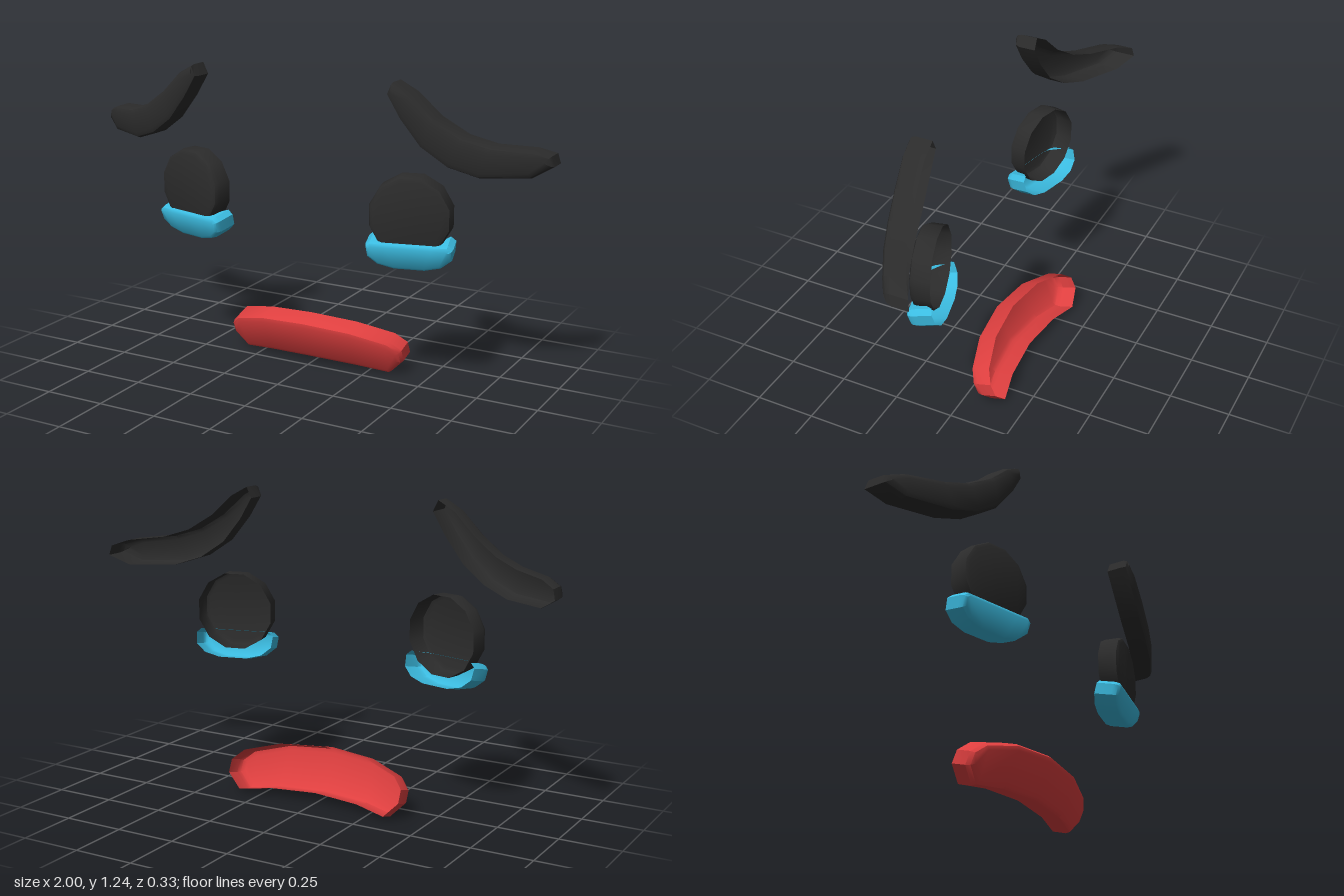
import * as THREE from 'three';
import { toCreasedNormals } from 'three/addons/utils/BufferGeometryUtils.js';

const mat = (name, color) =>
  new THREE.MeshStandardMaterial({ name, color, side: THREE.DoubleSide });

// Move each point of a counter-clockwise outline inward by the given distance.
function inset(ring, dist) {
  const n = ring.length;
  return ring.map((p, i) => {
    const a = ring[(i + n - 1) % n], b = ring[(i + 1) % n];
    const dx = b[0] - a[0], dy = b[1] - a[1], l = Math.hypot(dx, dy) || 1;
    return [p[0] - (dy / l) * dist, p[1] + (dx / l) * dist];
  });
}

// Hollow, open-backed shell with a rounded front edge.
// top and bottom are paired points from low x to high x;
// place(x, y, d) puts a point in space, with d from 0 (back) to 1 (front).
function shell(name, material, top, bottom, bevel, place) {
  const outline = [...bottom, ...[...top].reverse()];
  const n = outline.length, half = top.length;
  const steps = [[0, 0], [0, 0.72], [0.3, 0.92], [1, 1]];
  const pos = [], idx = [];
  for (const [k, d] of steps) {
    for (const [x, y] of inset(outline, bevel * k)) pos.push(...place(x, y, d));
  }
  for (let r = 0; r < steps.length - 1; r++) {
    for (let i = 0; i < n; i++) {
      const j = (i + 1) % n, a = r * n, b = a + n;
      idx.push(a + i, a + j, b + j, a + i, b + j, b + i);
    }
  }
  // front face, as a strip between the paired points
  const f = (steps.length - 1) * n;
  for (let i = 0; i < half - 1; i++) {
    const a = f + i, b = a + 1, c = f + n - 2 - i, d = c + 1;
    idx.push(a, b, c, a, c, d);
  }
  const g = new THREE.BufferGeometry();
  g.setAttribute('position', new THREE.Float32BufferAttribute(pos, 3));
  g.setIndex(idx);
  const mesh = new THREE.Mesh(toCreasedNormals(g, 0.7), material);
  mesh.name = name;
  return mesh;
}

// Full profile mirrored from its right half (first point on x = 0).
const mirrored = (pts) => [
  ...pts.slice(1).reverse().map(([x, y]) => [-x, y]), ...pts,
];

export function createModel() {
  const black = mat('black', 0x2b2b2b);
  const blue = mat('blue', 0x3bbbe0);
  const red = mat('red', 0xde3f3f);
  const model = new THREE.Group();
  model.name = 'face';

  // mouth: curved back at the ends, leaning forward at the top
  model.add(shell('mouth', red,
    mirrored([[0, 0.2], [0.2, 0.187], [0.35, 0.15], [0.395, 0.11]]),
    mirrored([[0, 0.025], [0.2, 0.017], [0.335, 0], [0.395, 0.06]]),
    0.022,
    (x, y, d) => [x, y + (1 - d) * 0.025,
      0.05 - 0.45 * (0.2 - y) - 0.33 * x * x - (1 - d) * 0.085]));

  for (const side of [1, -1]) {
    const half = new THREE.Group();
    half.name = side > 0 ? 'leftSide' : 'rightSide';
    half.scale.x = side;

    // eyebrow: sweeps down and back around the head
    half.add(shell('eyebrow', black,
      [[0.437, 1.245], [0.51, 1.205], [0.6, 1.12], [0.7, 1.055],
        [0.8, 1.022], [0.93, 1.008], [0.99, 0.985]],
      [[0.415, 1.2], [0.47, 1.11], [0.55, 1.01], [0.65, 0.94],
        [0.76, 0.903], [0.93, 0.903], [1, 0.945]],
      0.024,
      (x, y, d) => [x, y, 0.17 - 0.62 * (x - 0.42) ** 2 - (1 - d) * 0.095]));

    // eye and lower lid, turned slightly outward
    const eyeGroup = new THREE.Group();
    eyeGroup.name = 'eyeWithLid';
    eyeGroup.position.x = 0.47;
    eyeGroup.rotation.y = 0.24;

    const arc = (sign) => Array.from({ length: 6 }, (_, i) => {
      const a = Math.PI * (1 - (i + 0.5) / 6);
      return [Math.cos(a) * 0.164, 0.725 + sign * Math.sin(a) * 0.164];
    });
    eyeGroup.add(shell('eye', black, arc(1), arc(-1), 0.02,
      (x, y, d) => [x, y, 0.035 + d * 0.083]));

    // the lid's top edge is only a short lip in front of the eye
    eyeGroup.add(shell('lowerLid', blue,
      mirrored([[0, 0.622], [0.09, 0.622], [0.15, 0.622], [0.17, 0.605]]),
      mirrored([[0, 0.511], [0.06, 0.511], [0.125, 0.527], [0.165, 0.56]]),
      0.016,
      (x, y, d) => {
        const back = y > 0.6 && Math.abs(x) < 0.14 ? Math.max(d, 0.8) : d;
        return [x, y + (1 - back) * 0.022,
          0.135 - 0.3 * (0.622 - y) - (1 - back) * 0.1];
      }));
    half.add(eyeGroup);
    model.add(half);
  }
  return model;
}
